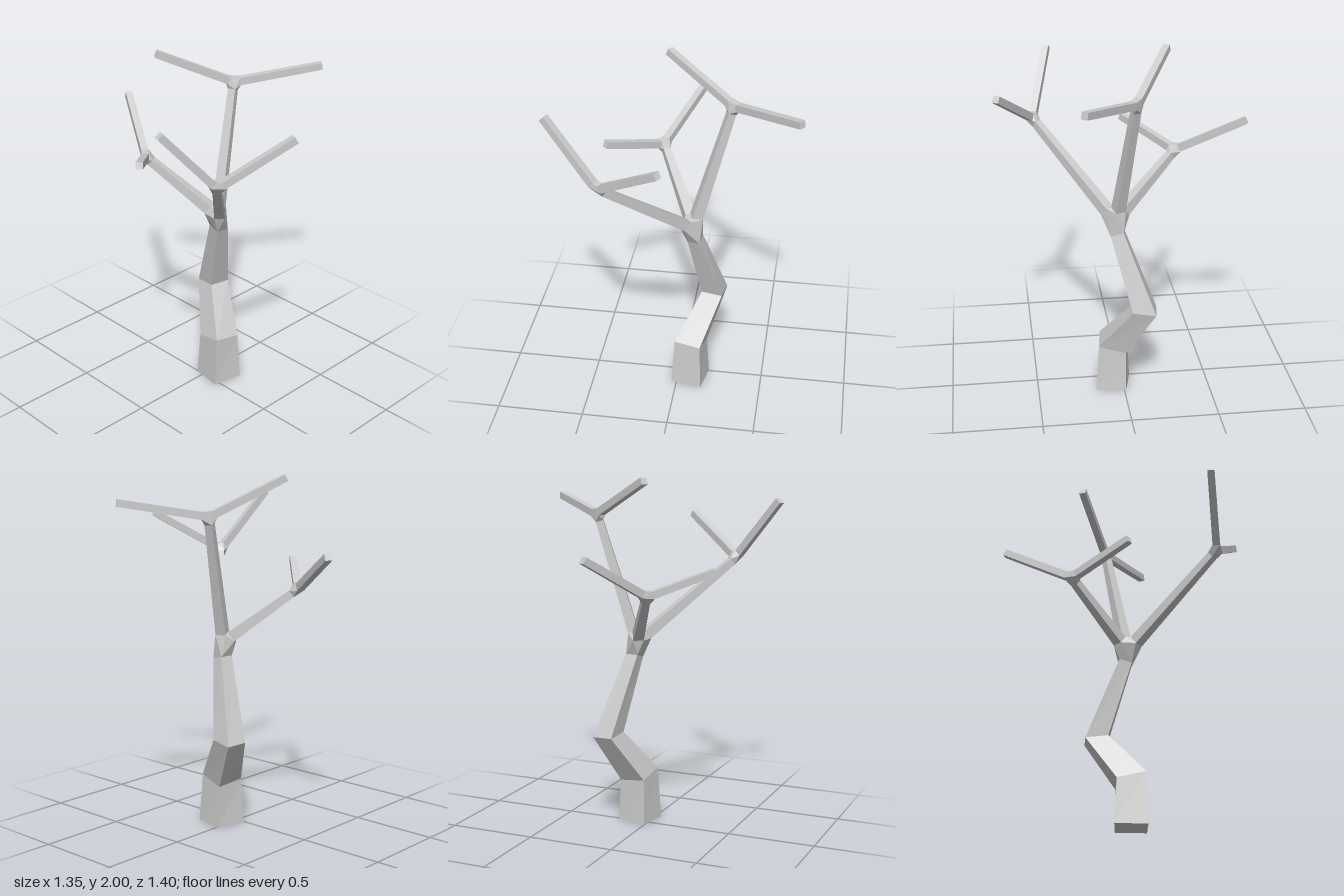
import * as THREE from 'three';
import { ConvexGeometry } from 'three/addons/geometries/ConvexGeometry.js';

const V = (p) => new THREE.Vector3(...p);
const material = new THREE.MeshStandardMaterial({ color: 0xcccccc, flatShading: true });

// Skin over a series of four-cornered rings, optionally closed at either end
function loft(rings, capStart, capEnd) {
  const points = [];
  const quad = (a, b, c, d) => points.push(a, b, c, a, c, d);
  for (let i = 0; i < rings.length - 1; i++) {
    for (let k = 0; k < 4; k++) {
      const n = (k + 1) % 4;
      quad(rings[i][k], rings[i][n], rings[i + 1][n], rings[i + 1][k]);
    }
  }
  if (capStart) quad(...[...rings[0]].reverse());
  if (capEnd) quad(...rings[rings.length - 1]);
  const geometry = new THREE.BufferGeometry().setFromPoints(points);
  geometry.computeVertexNormals();
  return geometry;
}

// Square ring facing along a direction, with its sides upright
function squareRing(center, direction, size) {
  const u = new THREE.Vector3(0, 1, 0).cross(direction).normalize();
  const v = direction.clone().cross(u).normalize();
  const h = size / 2;
  return [[-1, -1], [1, -1], [1, 1], [-1, 1]].map(([a, b]) =>
    center.clone().addScaledVector(u, a * h).addScaledVector(v, b * h));
}

export function createModel() {
  const tree = new THREE.Group();
  tree.name = 'bareTree';
  const add = (name, geometry, parent = tree) => {
    const mesh = new THREE.Mesh(geometry, material);
    mesh.name = name;
    parent.add(mesh);
  };

  // Crooked trunk: corners run front left, front right, back right, back left
  const trunkRings = [
    [[-0.03, 0, 0.13], [0.15, 0, 0.163], [0.18, 0, -0.01], [0, 0, -0.05]],
    [[-0.01, 0.3, 0.125], [0.14, 0.28, 0.145], [0.165, 0.24, -0.01], [0.01, 0.26, -0.035]],
    [[0.125, 0.545, -0.06], [0.245, 0.54, -0.04], [0.265, 0.525, -0.17], [0.145, 0.53, -0.187]],
    [[0.055, 0.97, 0.06], [0.125, 0.97, 0.072], [0.135, 0.99, 0], [0.06, 0.99, -0.01]],
  ].map((ring) => ring.map(V));
  add('trunk', loft(trunkRings, true, false));

  // Each limb: where it leaves the trunk, where it forks, and its twig tips
  const limbs = [
    { name: 'frontLimb', start: [0.045, 1.1, 0.085], fork: [-0.36, 1.52, 0.465],
      tips: [[-0.65, 1.86, 0.36], [-0.01, 1.75, 0.675]] },
    { name: 'tallLimb', start: [0.1, 1.12, 0.025], fork: [0.285, 1.785, -0.05],
      tips: [[-0.095, 1.985, -0.265], [0.665, 1.865, 0.26]] },
    { name: 'backLimb', start: [0.055, 1.1, -0.01], fork: [-0.135, 1.375, -0.325],
      tips: [[0.06, 1.6, -0.685], [-0.42, 1.495, -0.055]] },
  ];
  const crotchPoints = [...trunkRings[3]];

  for (const { name, start, fork, tips } of limbs) {
    const limb = new THREE.Group();
    limb.name = name;
    tree.add(limb);
    const from = V(start);
    const node = V(fork);
    const along = node.clone().sub(from).normalize();

    // Main branch, stopping just short of its fork
    const foot = squareRing(from, along, 0.06);
    const head = squareRing(node.clone().addScaledVector(along, -0.04), along, 0.043);
    add('branch', loft([foot, head], false, false), limb);
    crotchPoints.push(...foot);

    // Two twigs growing out of the fork
    const forkPoints = [...head];
    for (const tip of tips) {
      const end = V(tip);
      const direction = end.clone().sub(node).normalize();
      const root = squareRing(node.clone().addScaledVector(direction, 0.035), direction, 0.042);
      add('twig', loft([root, squareRing(end, direction, 0.039)], false, true), limb);
      forkPoints.push(...root);
    }
    add('fork', new ConvexGeometry(forkPoints), limb);
  }

  // Swollen joint between the trunk and its limbs
  add('crotch', new ConvexGeometry(crotchPoints));
  return tree;
}
